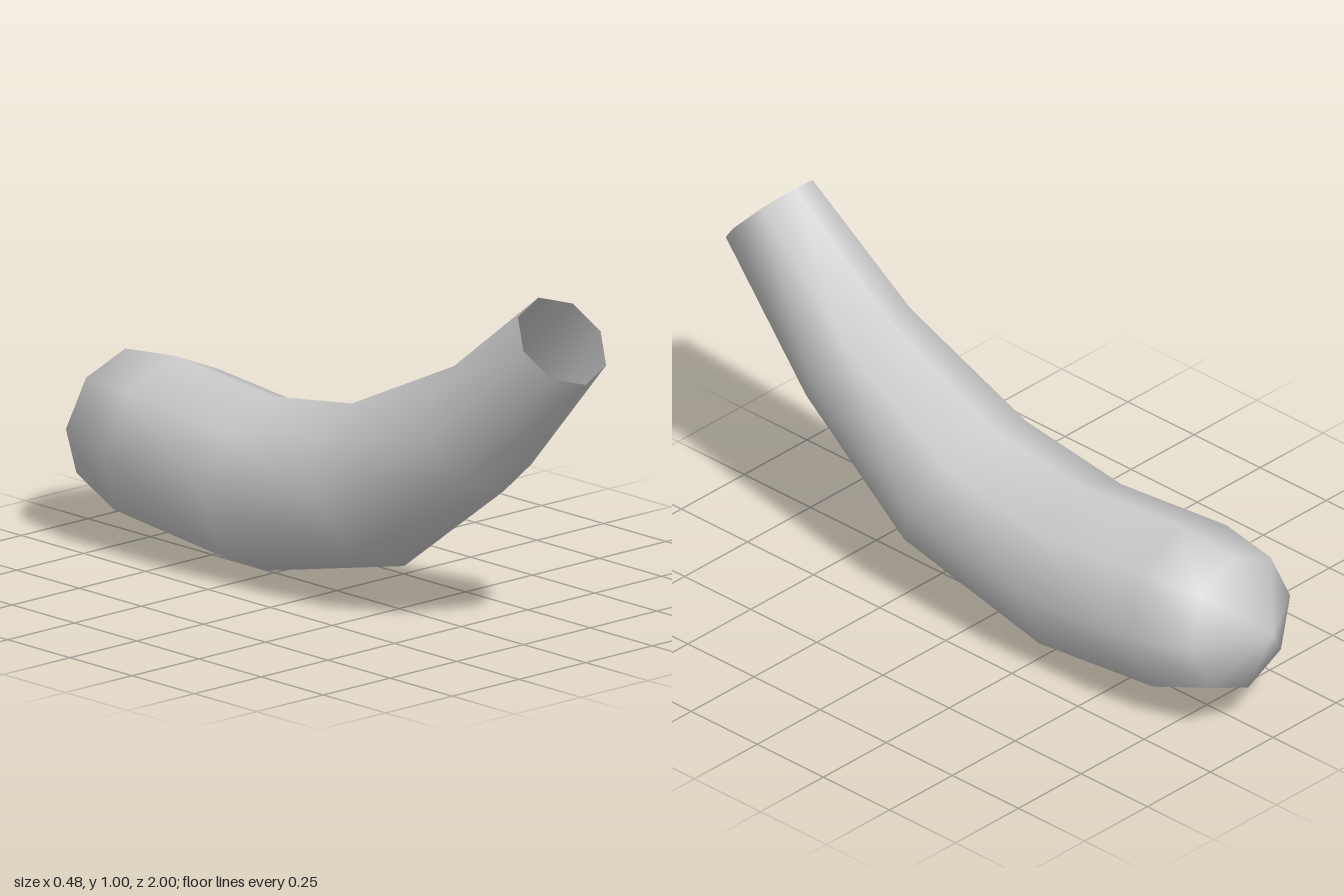
import * as THREE from 'three';

const SIDES = 8;

// Each ring: top point (z, y), bottom point (z, y), half width
const RINGS = [
  [0.81, 1.0, 1.0, 0.79, 0.145],
  [0.47, 0.735, 0.67, 0.42, 0.187],
  [0.06, 0.545, 0.27, 0.125, 0.232],
  [-0.26, 0.5, -0.28, 0.0, 0.242],
  [-0.65, 0.535, -0.72, 0.045, 0.242],
  [-0.85, 0.515, -0.905, 0.12, 0.197],
];
const TIP = [0, 0.33, -1];

function bentTube() {
  const positions = [];
  const index = [];
  // Octagonal cross-sections from the open end to the rounded end
  for (const [tz, ty, bz, by, halfWidth] of RINGS) {
    for (let i = 0; i < SIDES; i++) {
      const a = (i / SIDES) * Math.PI * 2;
      const c = Math.cos(a) / 2;
      positions.push(
        Math.sin(a) * halfWidth,
        (ty + by) / 2 + (ty - by) * c,
        (tz + bz) / 2 + (tz - bz) * c,
      );
    }
  }
  const tip = RINGS.length * SIDES;
  positions.push(...TIP);
  for (let r = 0; r < RINGS.length; r++) {
    for (let i = 0; i < SIDES; i++) {
      const j = (i + 1) % SIDES;
      const a = r * SIDES + i;
      const b = r * SIDES + j;
      if (r === RINGS.length - 1) index.push(a, b, tip); // closing fan
      else index.push(a, b, b + SIDES, a, b + SIDES, a + SIDES);
    }
  }
  const geometry = new THREE.BufferGeometry();
  geometry.setAttribute('position', new THREE.Float32BufferAttribute(positions, 3));
  geometry.setIndex(index);
  geometry.computeVertexNormals();
  return geometry;
}

export function createModel() {
  const group = new THREE.Group();
  group.name = 'bentTubeModel';
  // Open at the raised front end, so the inside shows too
  const grey = new THREE.MeshStandardMaterial({ color: 0xcccccc, side: THREE.DoubleSide });
  grey.name = 'light grey';
  const body = new THREE.Mesh(bentTube(), grey);
  body.name = 'curvedBody';
  group.add(body);
  return group;
}
